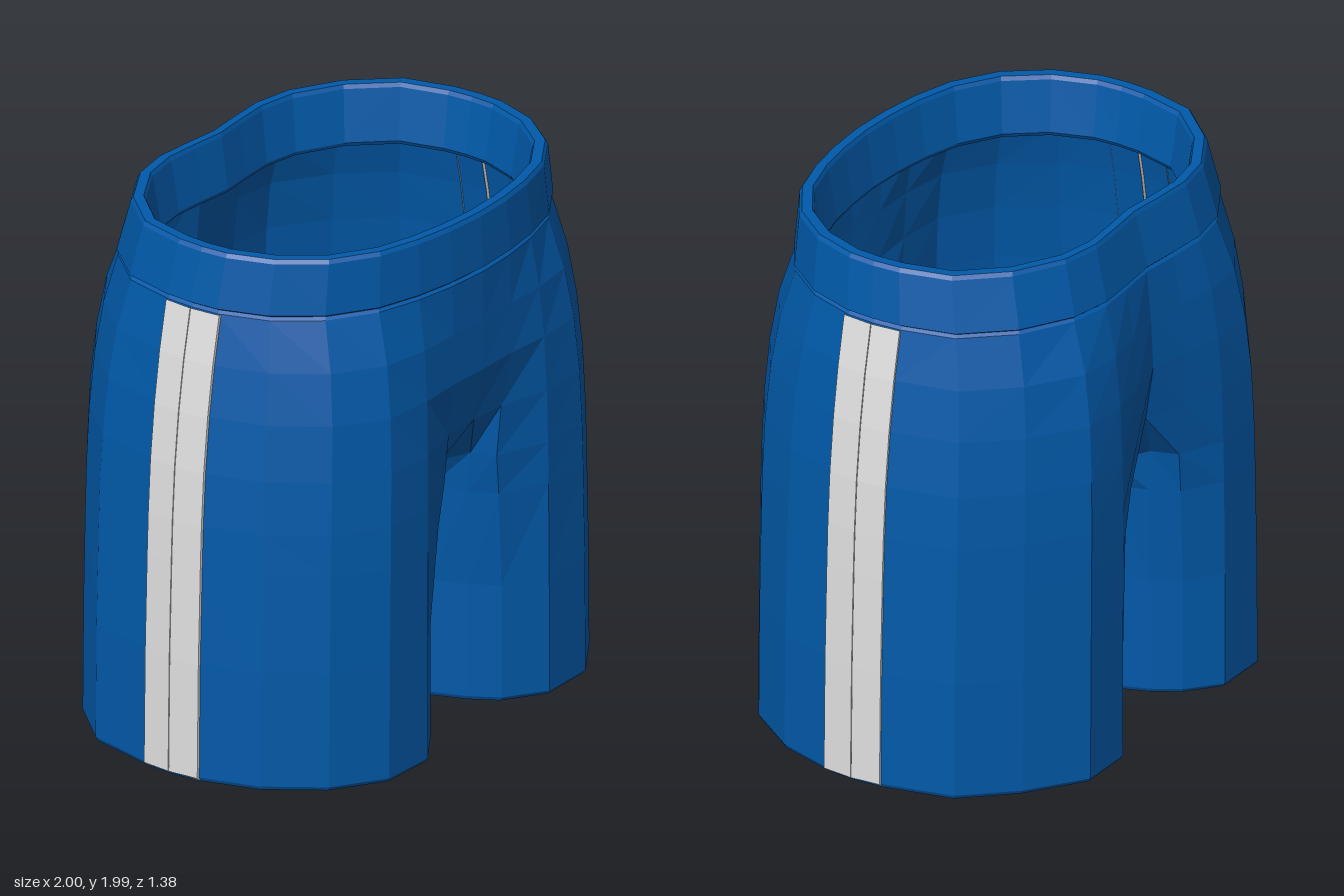
import * as THREE from 'three';

// Half outlines [x, z], from front centre round the left side to back centre
const THIGH = [[0, .67], [.17, .67], [.36, .69], [.58, .685], [.77, .56], [.91, .36], [.98, .13], [.987, .02],
  [.98, -.09], [.915, -.36], [.75, -.54], [.54, -.69], [.33, -.69], [.16, -.65], [0, -.61]];
const WAIST = [[0, .665], [.17, .655], [.33, .63], [.5, .58], [.67, .47], [.79, .31], [.85, .13], [.857, .02],
  [.85, -.09], [.8, -.29], [.65, -.46], [.46, -.57], [.3, -.6], [.15, -.59], [0, -.575]];
// Inner side of a leg, back to front
const INSEAM = [[.21, -.59], [.15, -.49], [.1, -.36], [.06, -.2], [.04, .02], [.06, .22], [.1, .36], [.15, .49], [.21, .59]];
// [height, shift from thigh to waist outline], from waist to hem
const LEVELS = [[1.765, 1], [1.58, .7], [1.39, .47], [1.18, .29], [.98, .19], [.82, .14], [.45, .05], [.015, 0]];

// Outline at one level; depth fills out sooner than width
const ring = ([y, w]) => THIGH.map(([x, z], i) =>
  [x + (WAIST[i][0] - x) * w, y, z + (WAIST[i][1] - z) * w * w]);
const band = (y, sx, sz, dz = .02) => WAIST.map(([x, z]) => [x * sx, y, z * sz + dz]);

// Closed leg ring: outer part of the outline plus the inseam
const legRing = (level, inner) => [...ring(level).slice(2, 13),
  ...(inner || INSEAM.map(([x, z]) => [x, level[0], z]))];

// Surface through rows of points, on one side or the mirrored one
function loft(rows, side, closed) {
  const pos = [];
  const put = (...pts) => {
    for (const p of side < 0 ? pts.reverse() : pts) pos.push(p[0] * side, p[1], p[2]);
  };
  for (let i = 0; i < rows.length - 1; i++) {
    const n = rows[i].length;
    for (let j = 0; j < (closed ? n : n - 1); j++) {
      const k = (j + 1) % n;
      put(rows[i][j], rows[i][k], rows[i + 1][k]);
      put(rows[i][j], rows[i + 1][k], rows[i + 1][j]);
    }
  }
  const g = new THREE.BufferGeometry();
  g.setAttribute('position', new THREE.Float32BufferAttribute(pos, 3));
  g.computeVertexNormals();
  return g;
}

export function createModel() {
  const blue = new THREE.MeshStandardMaterial({ color: 0x0059a8, flatShading: true, side: THREE.DoubleSide });
  const grey = new THREE.MeshStandardMaterial({ color: 0xdedede, flatShading: true, side: THREE.DoubleSide });
  blue.name = 'blue cloth';
  grey.name = 'light grey stripe';
  const model = new THREE.Group();
  model.name = 'shorts';

  // Leg rows: the hem turns up inside to a narrow opening, the cloth rises to the crotch
  const [waistLevel, upperHip, lowerHip, crotchLevel, foldLevel, thighLevel, kneeLevel, hemLevel] = LEVELS;
  const hem = legRing(hemLevel);
  const hemEdge = hem.map(([x, , z]) => [.5 + (x - .5) * .985, 0, z * .985]);
  const opening = hem.map(([x, , z]) => {
    const a = Math.atan2((z - .02) / .68, (x - .5) / .48);
    return [.45 + .27 * Math.cos(a), .36, .02 + .31 * Math.sin(a)];
  });
  const narrow = legRing(thighLevel, INSEAM.map(([x, z]) => [x * .85, .82, z * 1.02]));
  const fold = [[.155, .98, -.61], [.12, .98, -.51], [.05, .94, -.4], [.02, .91, -.22], [.015, .9, .02],
    [.02, .91, .24], [.05, .94, .41], [.12, .98, .52], [.155, .98, .61]];

  // The cloth draws in at the centre just above the crotch
  const crotchTop = ring(crotchLevel);
  crotchTop[0] = [0, 1.18, .625];
  crotchTop[1] = [.155, 1.18, .63];
  crotchTop[13] = [.15, 1.18, -.635];
  crotchTop[14] = [0, 1.18, -.57];
  const crotch = legRing(crotchLevel, [crotchTop[13], crotchTop[14], [0, 1.06, -.47], [0, .95, -.25],
    [0, .93, .02], [0, .95, .27], [0, 1.06, .5], crotchTop[0], crotchTop[1]]);
  const legRows = [opening, hemEdge, hem, legRing(kneeLevel), narrow, legRing(foldLevel, fold), crotch];
  const seam = band(1.775, .985, .985, 0);
  const bodyRows = [crotchTop, ring(lowerHip), ring(upperHip), ring(waistLevel), seam];

  // Waistband: outer wall, bevel, rim, inner wall and underside
  const bandRows = [seam, band(1.785, 1.005, 1.005, 0), band(1.975, .967, .955),
    band(1.99, .955, .942), band(1.99, .91, .89), band(1.975, .9, .88), band(1.78, .865, .835),
    band(1.765, .875, .845), band(1.77, .98, .98, 0)];

  // Thin panel following the side seam and tucked under the hem
  const panelRows = (edge, mid) => {
    const rows = LEVELS.map(level => {
      const [x, y] = ring(level)[7];
      return [[x - .012, y, edge], [x + .001, y, edge], [x + .011, y, mid], [x - .012, y, mid]];
    });
    const shrink = z => .02 + (z - .02) * .5;
    rows.push([[.975, .01, edge], [.97, 0, edge], [.97, 0, mid], [.975, .01, mid]]);
    rows.push([[.73, .346, shrink(edge)], [.723, .34, shrink(edge)], [.723, .34, shrink(mid)], [.73, .346, shrink(mid)]]);
    return rows;
  };

  for (const side of [1, -1]) {
    const name = side > 0 ? 'left' : 'right';
    const add = (part, rows, material, closed = false) => {
      const mesh = new THREE.Mesh(loft(rows, side, closed), material);
      mesh.name = name + part;
      model.add(mesh);
    };
    add('Leg', legRows, blue, true);
    add('Hip', bodyRows, blue);
    add('Waistband', bandRows, blue);
    add('FrontSideStripe', panelRows(.142, .024), grey);
    add('BackSideStripe', panelRows(-.092, .021), grey);
  }
  return model;
}
